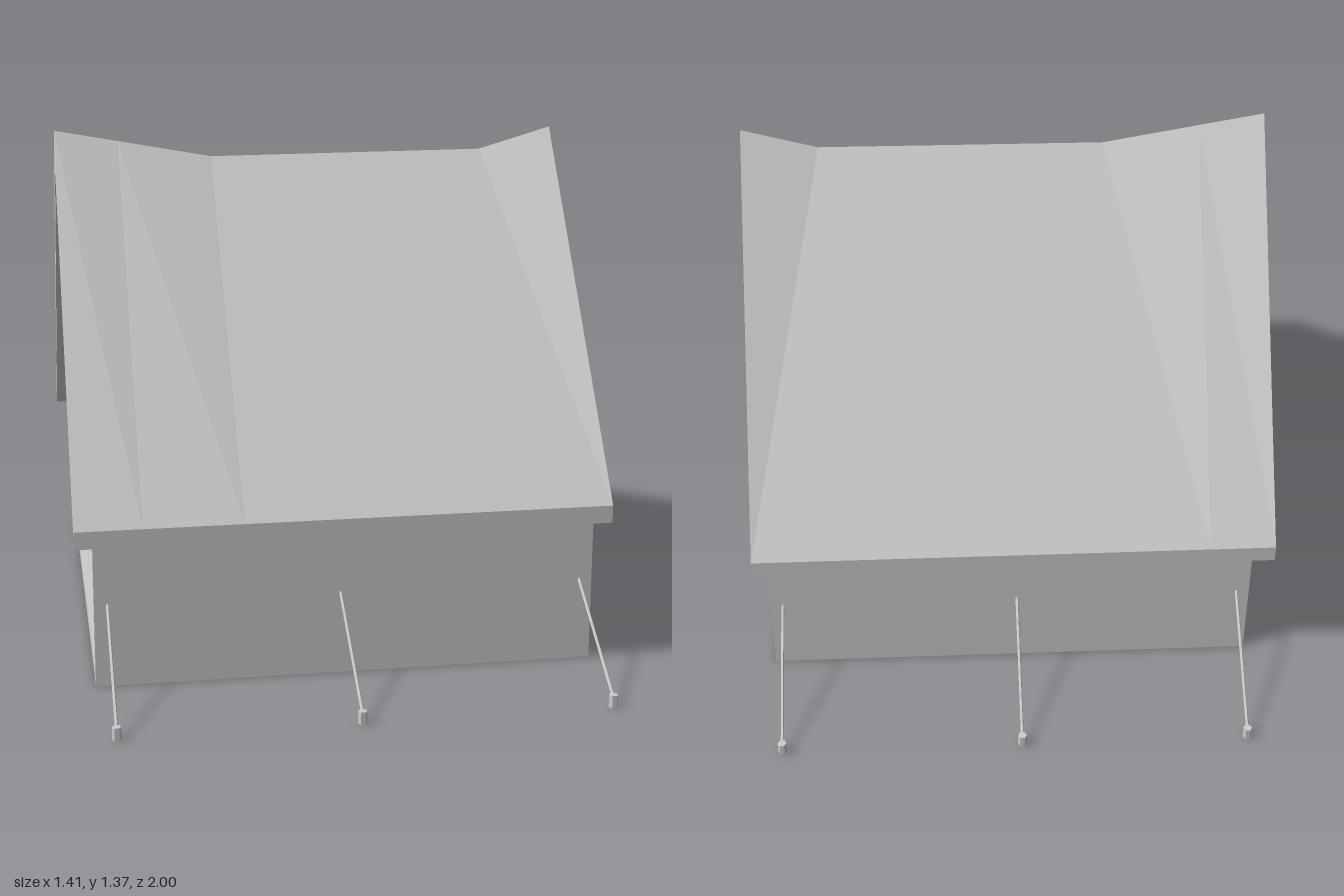
import * as THREE from 'three';

const WALL_Z = 0.66, WALL_Y = 0.46, APEX_Y = 1.255;
const X_OPEN = -0.657, X_CLOSED = 0.672;

const canvas = new THREE.MeshStandardMaterial({ color: 0xcccccc, flatShading: true, side: THREE.DoubleSide });

function build(points, index) {
  const g = new THREE.BufferGeometry();
  g.setAttribute('position', new THREE.Float32BufferAttribute(points.flat(), 3));
  g.setIndex(index);
  const flat = g.toNonIndexed();
  flat.computeVertexNormals();
  return flat;
}

function add(parent, name, geometry) {
  const mesh = new THREE.Mesh(geometry, canvas);
  mesh.name = name;
  parent.add(mesh);
  return mesh;
}

// Pentagonal gable outline, inset by t; shape x becomes z after turning
function gablePoints(t = 0) {
  const w = WALL_Z - t, top = APEX_Y - t * 1.55, side = WALL_Y - t * 0.35;
  return [[-w, t], [w, t], [w, side], [0, top], [-w, side]].map(([x, y]) => new THREE.Vector2(x, y));
}

// Thick sagging roof: chevron cross-sections lofted along x
function roofGeometry() {
  // ridge x, eave x, ridge height
  const stations = [
    [-0.705, -0.705, 1.37], [-0.53, -0.53, 1.338], [-0.27, -0.27, 1.29],
    [0.5, 0.705, 1.295], [0.705, 0.705, 1.355],
  ];
  const points = [], index = [], n = 6;
  for (const [rx, ex, y] of stations) {
    points.push([rx, y, 0], [ex, 0.447, 0.72], [ex, 0.4, 0.72],
      [rx, y - 0.11, 0], [ex, 0.4, -0.72], [ex, 0.447, -0.72]);
  }
  for (let i = 0; i < stations.length - 1; i++) {
    for (let j = 0; j < n; j++) {
      const a = i * n + j, c = i * n + (j + 1) % n, b = a + n, d = c + n;
      index.push(a, c, d, a, d, b);
    }
  }
  const e = (stations.length - 1) * n;
  for (const [p, q, r] of [[0, 1, 2], [0, 2, 3], [0, 3, 4], [0, 4, 5]]) {
    index.push(e + p, e + q, e + r, r, q, p);
  }
  return build(points, index);
}

// Door flap with a loose lower corner; s is the side along z
function flapGeometry(s, lift) {
  const x = X_OPEN + 0.045, w = WALL_Z - 0.01;
  const points = [
    [x, APEX_Y - 0.02, 0], [x, WALL_Y, s * w], [x, 0.01, s * w],
    [x - lift, 0.02, s * 0.028], [x, 0.37, s * 0.012], [x, 0.74, 0],
  ];
  return build(points, [0, 1, 5, 1, 4, 5, 1, 2, 4, 2, 3, 4]);
}

export function createModel() {
  const tent = new THREE.Group();
  tent.name = 'tent';

  add(tent, 'roof', roofGeometry());

  // Long side walls
  for (const s of [1, -1]) {
    const wall = add(tent, s > 0 ? 'frontWall' : 'backWall',
      new THREE.PlaneGeometry(X_CLOSED - X_OPEN, WALL_Y));
    wall.position.set((X_CLOSED + X_OPEN) / 2, WALL_Y / 2, s * WALL_Z);
    if (s < 0) wall.rotation.y = Math.PI;
  }

  // Closed gable
  const gable = add(tent, 'closedGable', new THREE.ShapeGeometry(new THREE.Shape(gablePoints())));
  gable.rotation.y = Math.PI / 2;
  gable.position.x = X_CLOSED;

  // Open gable: border frame with the two flaps set behind it
  const border = new THREE.Shape(gablePoints());
  border.holes.push(new THREE.Path(gablePoints(0.035).reverse()));
  const frame = add(tent, 'doorFrame', new THREE.ExtrudeGeometry(border, { depth: 0.04, bevelEnabled: false }));
  frame.rotation.y = Math.PI / 2;
  frame.position.x = X_OPEN;
  add(tent, 'frontDoorFlap', flapGeometry(1, 0));
  add(tent, 'backDoorFlap', flapGeometry(-1, 0.04));

  // Guy ropes and pegs
  for (const s of [1, -1]) {
    for (const x of [-0.622, -0.01, 0.638]) {
      const start = new THREE.Vector3(x, 0.225, s * (WALL_Z - 0.004));
      const end = new THREE.Vector3(x, 0.025, s * 0.988);
      add(tent, 'guyRope', new THREE.TubeGeometry(new THREE.LineCurve3(start, end), 1, 0.004, 6));
      const peg = add(tent, 'peg', new THREE.CylinderGeometry(0.012, 0.012, 0.034, 6));
      peg.position.set(x, 0.017, s * 0.988);
      peg.rotation.y = Math.PI / 6;
      const knot = add(tent, 'ropeKnot', new THREE.SphereGeometry(0.006, 6, 4));
      knot.position.copy(start);
    }
  }
  return tent;
}
